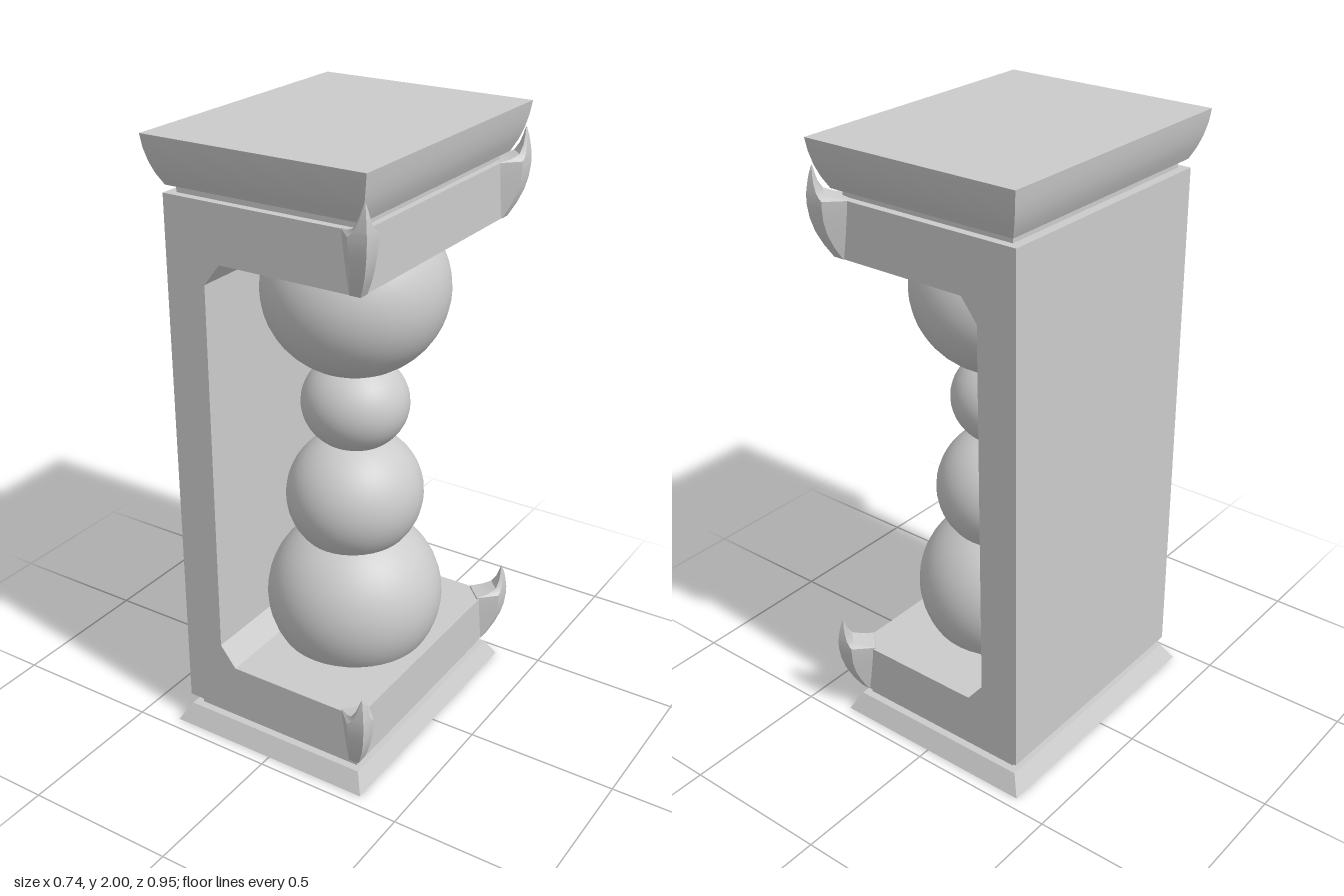
import * as THREE from 'three';
import { toCreasedNormals } from 'three/addons/utils/BufferGeometryUtils.js';

const material = new THREE.MeshStandardMaterial({ color: 0xcccccc });

// Closed solid through horizontal rings, each counter-clockwise seen from above
function loft(rings, crease = 0.5) {
  const pos = [];
  const n = rings[0].length;
  const tri = (a, b, c) => pos.push(...a, ...b, ...c);
  for (let k = 0; k < rings.length - 1; k++) {
    const a = rings[k], b = rings[k + 1];
    for (let i = 0; i < n; i++) {
      const j = (i + 1) % n;
      tri(a[i], a[j], b[j]);
      tri(a[i], b[j], b[i]);
    }
  }
  const bottom = rings[0], top = rings[rings.length - 1];
  for (let i = 1; i < n - 1; i++) {
    tri(bottom[0], bottom[i + 1], bottom[i]);
    tri(top[0], top[i], top[i + 1]);
  }
  const g = new THREE.BufferGeometry();
  g.setAttribute('position', new THREE.Float32BufferAttribute(pos, 3));
  return toCreasedNormals(g, crease);
}

const rect = ([y, x0, x1, z]) => [[x0, y, z], [x1, y, z], [x1, y, -z], [x0, y, -z]];

// Corner claw: a square-edged rib along the diagonal, curling up to a tip
// Rows: height, reach beyond the corner, face width, depth into the block
const clawRows = [
  [0, 0.002, 0.035, 0.06],
  [0.04, 0.022, 0.042, 0.06],
  [0.08, 0.037, 0.048, 0.06],
  [0.12, 0.046, 0.054, 0.06],
  [0.16, 0.05, 0.059, 0.06],
  [0.18, 0.05, 0.06, 0.055],
  [0.187, 0.05, 0.05, 0.03],
  [0.2, 0.049, 0.038, 0.014],
  [0.225, 0.046, 0.024, 0.008],
  [0.25, 0.042, 0.013, 0.005],
  [0.275, 0.036, 0.002, 0.001],
];
function clawGeometry(side) {
  const cx = 0.32, cz = 0.425;
  return loft(clawRows.map(([y, o, w, d]) => {
    const ring = [[o - w, o], [o, o], [o, o - w], [o - d, o - w - d], [o - w - d, o - d]]
      .map(([x, z]) => [cx + x, y, side * (cz + z)]);
    return side > 0 ? ring : ring.reverse();
  }), 0.6);
}

export function createModel() {
  const model = new THREE.Group();
  const add = (name, geometry, x = 0, y = 0, z = 0) => {
    const mesh = new THREE.Mesh(geometry, material);
    mesh.name = name;
    mesh.position.set(x, y, z);
    model.add(mesh);
    return mesh;
  };

  // C-shaped frame with chamfered inner corners
  const profile = new THREE.Shape([
    [-0.34, 0.095], [0.32, 0.095], [0.32, 0.27], [-0.15, 0.27], [-0.205, 0.34],
    [-0.205, 1.575], [-0.15, 1.645], [0.32, 1.645], [0.32, 1.825], [-0.34, 1.825],
  ].map(([x, y]) => new THREE.Vector2(x, y)));
  add('frame', new THREE.ExtrudeGeometry(profile, { depth: 0.85, bevelEnabled: false }), 0, 0, -0.425);

  // Base, recessed necks and flared cap
  add('base', loft([[0, -0.37, 0.35, 0.46], [0.06, -0.335, 0.32, 0.425]].map(rect)));
  add('lowerNeck', loft([[0.055, -0.31, 0.3, 0.4], [0.1, -0.31, 0.3, 0.4]].map(rect)));
  add('upperNeck', loft([[1.82, -0.31, 0.3, 0.4], [1.855, -0.31, 0.3, 0.4]].map(rect)));
  add('cap', loft([
    [1.85, -0.33, 0.322, 0.425], [1.885, -0.347, 0.339, 0.443], [1.92, -0.359, 0.351, 0.456],
    [1.96, -0.368, 0.36, 0.466], [2, -0.373, 0.366, 0.471],
  ].map(rect)));

  // Stacked, slightly flattened balls: name, centre height, radius x, y, z
  for (const [name, y, rx, ry, rz] of [
    ['lowestBall', 0.42, 0.29, 0.28, 0.29],
    ['lowerBall', 0.79, 0.22, 0.215, 0.23],
    ['upperBall', 1.11, 0.174, 0.157, 0.169],
    ['highestBall', 1.49, 0.29, 0.275, 0.295],
  ]) {
    add(name, new THREE.SphereGeometry(1, 40, 24), 0.04, y, 0.005).scale.set(rx, ry, rz);
  }

  // Claws on both open corners of each block
  for (const [level, y] of [['lower', 0.095], ['upper', 1.645]]) {
    for (const [end, side] of [['Front', 1], ['Back', -1]]) {
      add(level + end + 'Claw', clawGeometry(side), 0, y, 0);
    }
  }
  return model;
}
